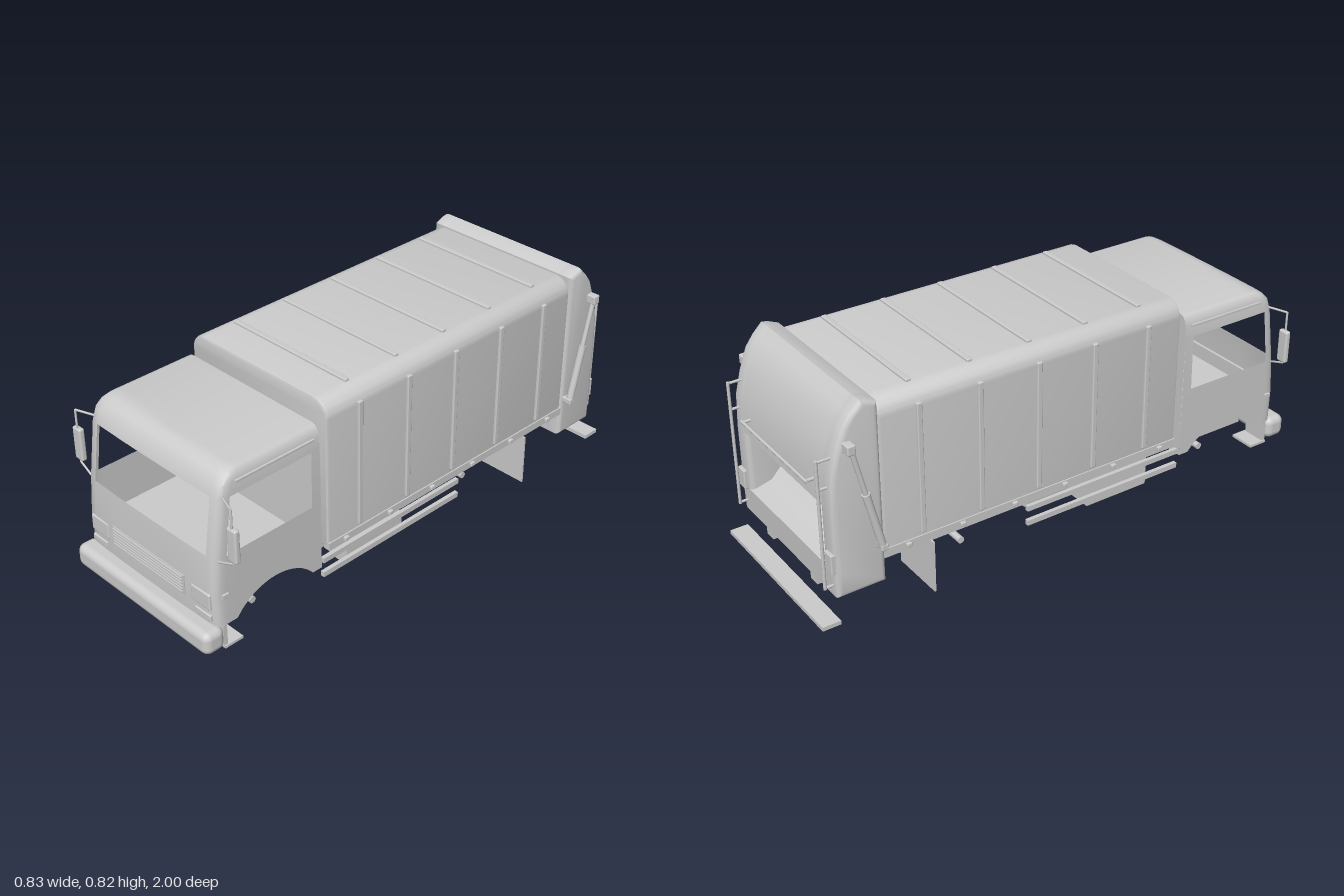
import * as THREE from 'three';
import { toCreasedNormals } from 'three/addons/utils/BufferGeometryUtils.js';
import { RoundedBoxGeometry } from 'three/addons/geometries/RoundedBoxGeometry.js';

const paint = new THREE.MeshStandardMaterial({ color: 0xcccccc, side: THREE.DoubleSide });
paint.name = 'plain grey';

const V = (x, y, z) => new THREE.Vector3(x, y, z);
const toPoints = pts => pts.map(p => new THREE.Vector2(...p));

export function createModel() {
  const truck = new THREE.Group();
  truck.name = 'refuseTruck';

  const add = (name, geo) => {
    const m = new THREE.Mesh(geo, paint);
    m.name = name;
    truck.add(m);
    return m;
  };
  // Box given by its lower and upper limits, optionally rounded
  const box = (name, x0, x1, y0, y1, z0, z1, r = 0) => {
    const s = [Math.abs(x1 - x0), y1 - y0, z1 - z0];
    const geo = r ? new RoundedBoxGeometry(...s, 3, r) : new THREE.BoxGeometry(...s);
    add(name, geo.translate((x0 + x1) / 2, (y0 + y1) / 2, (z0 + z1) / 2));
  };
  const rod = (name, a, b, r, sides = 12) => {
    const d = b.clone().sub(a);
    const m = add(name, new THREE.CylinderGeometry(r, r, d.length(), sides));
    m.position.copy(a).add(b).multiplyScalar(0.5);
    m.quaternion.setFromUnitVectors(V(0, 1, 0), d.normalize());
  };
  // Side profile of [z, y] points, extruded across x
  const across = (name, pts, x0, x1, bevel = 0) => {
    const depth = x1 - x0 - 2 * bevel;
    const geo = new THREE.ExtrudeGeometry(new THREE.Shape(toPoints(pts)), {
      depth, bevelEnabled: bevel > 0, bevelSize: bevel, bevelThickness: bevel, bevelOffset: -bevel, bevelSegments: 3 });
    geo.rotateY(-Math.PI / 2).translate(depth + x0 + bevel, 0, 0);
    add(name, toCreasedNormals(geo, 0.6));
  };

  buildCab(add, box, rod);
  buildBody(add, box);
  buildTailgate(box, rod, across);
  buildChassis(add, box, rod);
  return truck;
}

function buildCab(add, box, rod) {
  const back = 0.485, floorY = 0.17;
  // Rows: height, front z, half width; the last one closes the roof
  const rows = [[floorY, 0.945, 0.33], [0.30, 0.947, 0.33], [0.435, 0.935, 0.33], [0.645, 0.905, 0.328],
    [0.69, 0.89, 0.325], [0.713, 0.868, 0.319], [0.726, 0.845, 0.308], [0.73, 0.82, 0.295], [0.73, 0.82, 0]];
  // Columns: width fraction and depth fraction, round the plan from one rear edge to the other
  const half = [[1, 0]];
  for (let i = 0; i <= 14; i++) half.push([1, 0.087 + (0.804 - 0.087) * i / 14]);
  half.push([1, 0.89], [0.998, 0.93], [0.985, 0.962], [0.955, 0.982], [0.864, 0.992], [0.45, 0.999]);
  const cols = [...half, [0, 1], ...half.map(([x, z]) => [-x, z]).reverse()];
  // Wheel arch: lower edge follows a circle
  const bottom = z => {
    const d = z - 0.69;
    return Math.abs(d) < 0.165 ? Math.max(floorY, 0.04 + Math.sqrt(0.21 ** 2 - d * d)) : floorY;
  };
  const pos = [], index = [], n = cols.length;
  rows.forEach(([y, zf, w], j) => cols.forEach(([fx, fz]) => {
    const low = bottom(back + (0.945 - back) * fz);
    const yy = j < 2 ? low + (0.435 - low) * (y - floorY) / (0.435 - floorY) : y;
    pos.push(fx * w, yy, back + (zf - back) * fz);
  }));
  for (let j = 0; j < rows.length - 1; j++) {
    for (let i = 0; i < n - 1; i++) {
      const mx = Math.abs(cols[i][0] + cols[i + 1][0]) / 2, mz = (cols[i][1] + cols[i + 1][1]) / 2;
      const windscreen = mx < 0.86;
      const sideWindow = mz > 0.087 && mz < 0.89;
      if (j === 2 && (windscreen || sideWindow)) continue;
      const a = j * n + i, b = a + 1, c = b + n, d = a + n;
      index.push(a, c, b, a, d, c);
    }
  }
  const shell = new THREE.BufferGeometry();
  shell.setAttribute('position', new THREE.Float32BufferAttribute(pos, 3));
  shell.setIndex(index);
  add('cabShell', toCreasedNormals(shell, 0.7));

  // Rear wall with its window
  const wall = new THREE.Shape(toPoints([[-0.33, floorY], [0.33, floorY], [0.328, 0.645], [0.319, 0.713],
    [0.295, 0.73], [-0.295, 0.73], [-0.319, 0.713], [-0.328, 0.645]]));
  wall.holes.push(new THREE.Path(toPoints([[-0.17, 0.52], [-0.16, 0.51], [0.16, 0.51], [0.17, 0.52],
    [0.17, 0.63], [0.16, 0.64], [-0.16, 0.64], [-0.17, 0.63]])));
  add('cabRearWall', new THREE.ShapeGeometry(wall).translate(0, 0, back));
  box('cabFloor', -0.32, 0.32, 0.255, 0.262, back, 0.925);

  // Grille and bumper
  box('grillePanel', -0.185, 0.185, 0.235, 0.31, 0.935, 0.949);
  for (let i = 0; i < 6; i++) box('grilleSlat', -0.18, 0.18, 0.239 + i * 0.012, 0.246 + i * 0.012, 0.945, 0.955);
  box('bumper', -0.345, 0.345, 0.09, 0.178, 0.915, 1.0, 0.028);

  for (const s of [1, -1]) {
    box('headlight', s * 0.215, s * 0.308, 0.235, 0.298, 0.89, 0.948, 0.006);
    box('indicator', s * 0.23, s * 0.308, 0.192, 0.216, 0.89, 0.948, 0.004);
    box('sideRepeater', s * 0.325, s * 0.338, 0.28, 0.295, 0.89, 0.915);
    box('dripRail', s * 0.318, s * 0.332, 0.685, 0.693, 0.51, 0.835);
    box('cabStep', s * 0.235, s * 0.335, 0.08, 0.09, 0.84, 0.915);
    box('bumperBracket', s * 0.24, s * 0.33, 0.09, 0.17, 0.9, 0.915);
    // Mirror on its bent arm
    const bend = [V(s * 0.32, 0.655, 0.885), V(s * 0.392, 0.655, 0.91), V(s * 0.392, 0.45, 0.91), V(s * 0.325, 0.425, 0.915)];
    for (let i = 0; i < 3; i++) rod('mirrorArm', bend[i], bend[i + 1], 0.004, 8);
    box('mirror', s * 0.371, s * 0.414, 0.458, 0.585, 0.895, 0.917, 0.008);
  }
}

function buildBody(add, box) {
  // Container with rounded upper edges
  const w = 0.323, y0 = 0.24, top = 0.79, r = 0.055;
  const s = new THREE.Shape();
  s.moveTo(-w, y0).lineTo(w, y0).lineTo(w, top - r);
  s.absarc(w - r, top - r, r, 0, Math.PI / 2);
  s.absarc(-w + r, top - r, r, Math.PI / 2, Math.PI);
  s.closePath();
  const geo = new THREE.ExtrudeGeometry(s, { depth: 1.19, bevelSize: 0.008, bevelThickness: 0.01, bevelSegments: 2, curveSegments: 8 });
  add('container', toCreasedNormals(geo.translate(0, 0, -0.745), 0.6));

  for (const z of [0.31, 0.082, -0.148, -0.38, -0.61]) {
    box('roofRib', -0.275, 0.275, 0.79, 0.807, z - 0.01, z + 0.01, 0.004);
    for (const k of [1, -1]) box('sideRib', k * 0.325, k * 0.34, 0.265, 0.75, z - 0.01, z + 0.01, 0.004);
  }
  for (const k of [1, -1]) {
    box('lowerRail', k * 0.31, k * 0.336, 0.225, 0.254, -0.755, 0.455);
    for (let i = 0; i < 6; i++) {
      const z = 0.38 - i * 0.21;
      box('railLamp', k * 0.33, k * 0.347, 0.233, 0.25, z - 0.01, z + 0.01, 0.004);
    }
  }
}

function buildTailgate(box, rod, across) {
  const outline = [[-0.755, 0.13], [-0.755, 0.8], [-0.79, 0.815], [-0.815, 0.82], [-0.85, 0.785], [-0.88, 0.745],
    [-0.91, 0.665], [-0.932, 0.58], [-0.938, 0.46], [-0.938, 0.23], [-0.935, 0.13]];
  for (const s of [1, -1]) {
    across('tailgateCheek', outline, s > 0 ? 0.258 : -0.337, s > 0 ? 0.337 : -0.258, 0.018);
  }
  // Middle parts above and below the loading opening, with the sloping hopper floor
  across('tailgateUpper', [[-0.755, 0.46], ...outline.slice(1, 9)], -0.3, 0.3);
  across('hopper', [[-0.755, 0.13], [-0.755, 0.47], [-0.77, 0.47], [-0.785, 0.33], [-0.86, 0.25], [-0.938, 0.23], [-0.935, 0.13]], -0.3, 0.3);
  // Horizontal grab handle
  rod('grabHandle', V(-0.23, 0.53, -0.962), V(0.23, 0.53, -0.962), 0.006, 8);
  for (const s of [1, -1]) {
    rod('handleMount', V(s * 0.22, 0.53, -0.925), V(s * 0.22, 0.53, -0.962), 0.006, 8);
    // Vertical grab rails
    rod('grabRail', V(s * 0.305, 0.165, -0.965), V(s * 0.305, 0.645, -0.965), 0.006, 8);
    for (const y of [0.17, 0.54, 0.64]) rod('grabRailMount', V(s * 0.305, y, -0.9), V(s * 0.305, y, -0.965), 0.005, 8);
    box('tailLamp', s * 0.285, s * 0.33, 0.225, 0.3, -0.95, -0.92, 0.004);
    // Lifting rams
    const low = V(s * 0.358, 0.285, -0.775), high = V(s * 0.358, 0.69, -0.872);
    rod('ramBarrel', low, low.clone().lerp(high, 0.54), 0.014);
    rod('ramPiston', low, high, 0.009);
    box('ramTopBracket', s * 0.33, s * 0.372, 0.665, 0.7, -0.888, -0.858, 0.005);
    box('ramFoot', s * 0.33, s * 0.372, 0.275, 0.3, -0.788, -0.762, 0.005);
  }
}

function buildChassis(add, box, rod) {
  for (const s of [1, -1]) {
    box('frameRail', s * 0.135, s * 0.18, 0.095, 0.17, -0.93, 0.92);
    box('mudFlap', s * 0.105, s * 0.325, 0, 0.2, -0.569, -0.563);
    // Side guards
    for (const y of [0.122, 0.18]) box('sideGuard', s * 0.315, s * 0.33, y, y + 0.02, -0.19, 0.475);
  }
  // Octagonal air tank on one side, battery box on the other
  const tank = new THREE.CylinderGeometry(0.062, 0.062, 0.265, 8);
  tank.rotateY(Math.PI / 8).rotateX(Math.PI / 2).translate(0.25, 0.148, 0.2125);
  add('airTank', toCreasedNormals(tank, 0.5));
  box('batteryBox', -0.31, -0.19, 0.09, 0.205, 0.08, 0.345);
  rod('silencer', V(-0.115, 0.073, -0.06), V(-0.115, 0.073, 0.245), 0.035, 16);
  // Axles and differential
  rod('frontAxle', V(-0.21, 0.078, 0.69), V(0.21, 0.078, 0.69), 0.013);
  rod('rearAxle', V(-0.19, 0.056, -0.375), V(0.19, 0.056, -0.375), 0.013);
  add('differential', new THREE.SphereGeometry(0.047, 14, 10).translate(0, 0.062, -0.375));
  rod('driveShaft', V(0, 0.085, -0.35), V(0, 0.13, 0.5), 0.012);
  for (const z of [-0.85, -0.2, 0.45, 0.88]) box('crossMember', -0.14, 0.14, 0.11, 0.155, z - 0.02, z + 0.02);
  // Rear step bar
  box('rearBar', -0.337, 0.337, 0.032, 0.047, -1, -0.932);
}
